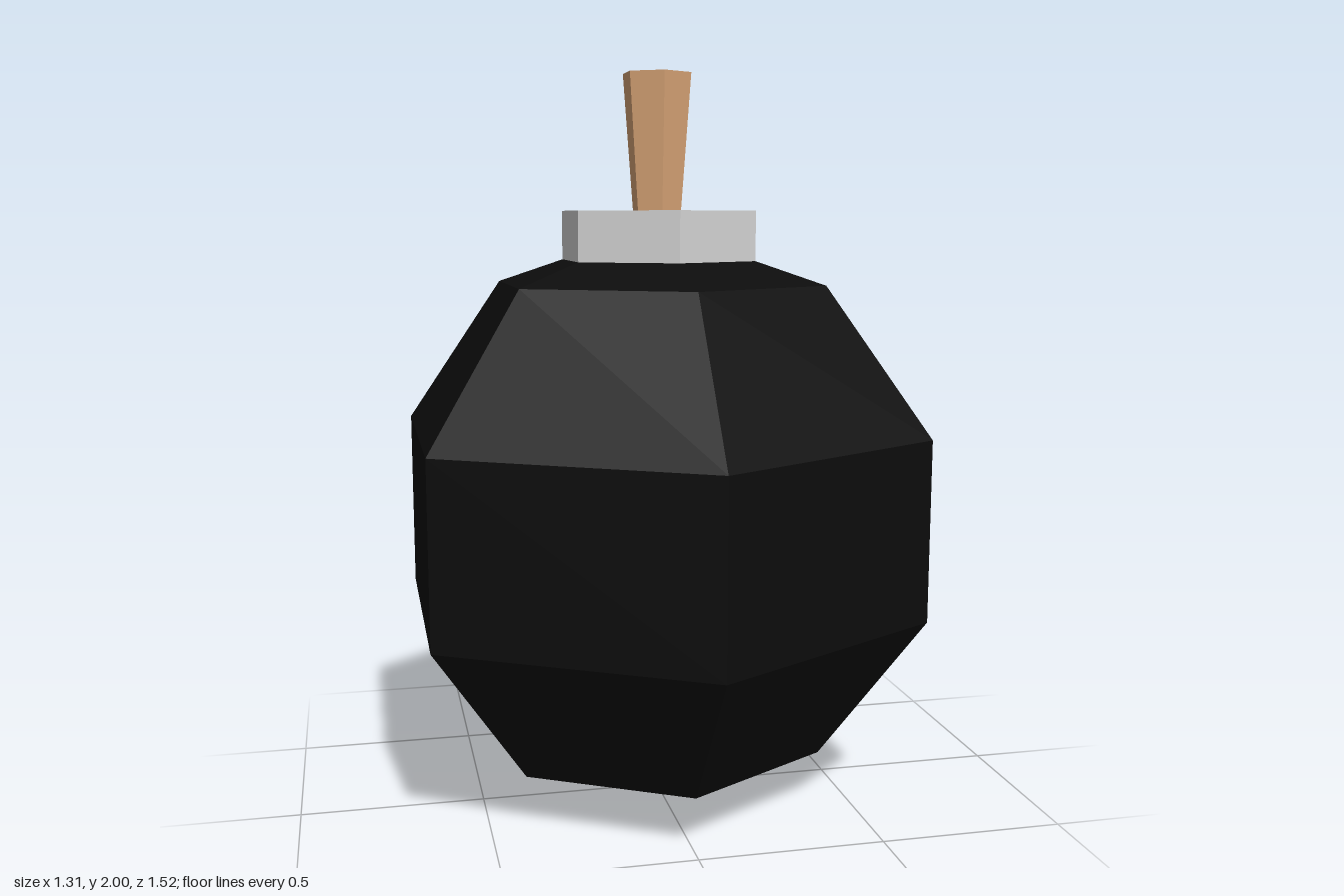
import * as THREE from 'three';

function flatMaterial(name, color) {
  const material = new THREE.MeshStandardMaterial({ color, flatShading: true });
  material.name = name;
  return material;
}

export function createModel() {
  const group = new THREE.Group();
  group.name = 'roundBomb';
  const SIDES = 6;

  function add(name, geometry, material, y) {
    const mesh = new THREE.Mesh(geometry, material);
    mesh.name = name;
    mesh.position.y = y;
    group.add(mesh);
  }

  // Faceted ball, turned so its corners point along z
  const R = 0.797;
  const ball = new THREE.SphereGeometry(R, SIDES, 5).rotateY(Math.PI / 2);
  add('body', ball, flatMaterial('black', 0x0d0d0d), R);

  // Hexagonal collar over the top of the ball
  add('collar', new THREE.CylinderGeometry(0.276, 0.276, 0.135, SIDES), flatMaterial('lightGrey', 0xd5d5d5), 1.57);

  // Fuse, widening upwards out of the collar
  add('fuse', new THREE.CylinderGeometry(0.096, 0.067, 0.38, SIDES), flatMaterial('tan', 0xd9a577), 1.81);

  return group;
}
